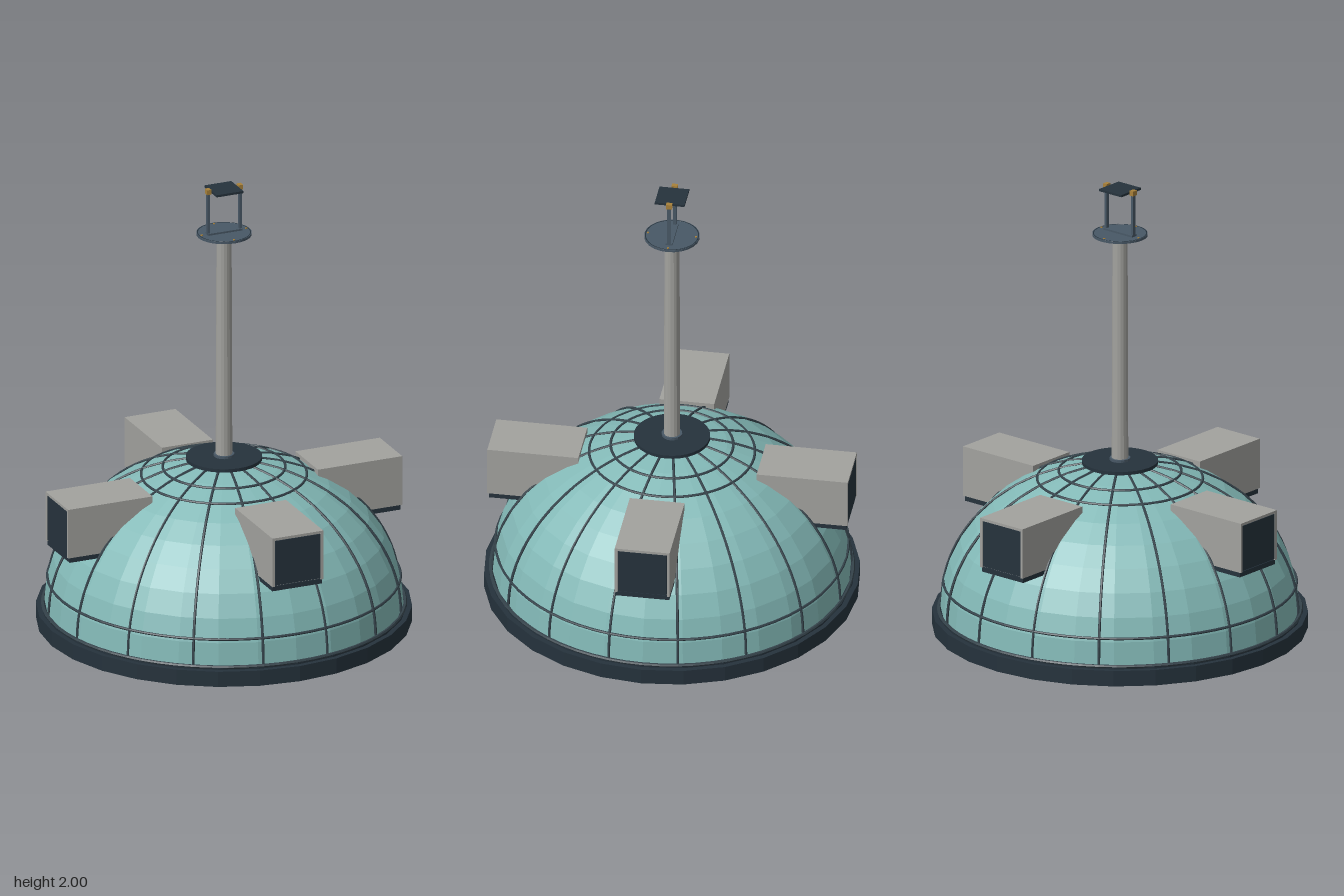
import * as THREE from 'three';

const mat = (color) => new THREE.MeshStandardMaterial({ color, flatShading: true });

export function createModel() {
  const root = new THREE.Group();
  const teal = mat(0x83b9b7), dark = mat(0x25323c), grey = mat(0xa2a29e);
  const slate = mat(0x485866), gold = mat(0xa8813a), rib = mat(0x34424a);

  const add = (name, geo, material, x = 0, y = 0, z = 0, parent = root) => {
    const m = new THREE.Mesh(geo, material);
    m.name = name;
    m.position.set(x, y, z);
    parent.add(m);
    return m;
  };
  const cyl = (name, r0, r1, y0, y1, sides, material, x = 0, z = 0) =>
    add(name, new THREE.CylinderGeometry(r1, r0, y1 - y0, sides), material, x, (y0 + y1) / 2, z);
  const ring = (name, r, tube, y, material) => {
    const m = add(name, new THREE.TorusGeometry(r, tube, 6, 64), material, 0, y, 0);
    m.rotation.x = Math.PI / 2;
  };

  // Base plinth and dome
  const R = 0.775, H = 0.665, Y0 = 0.08;
  cyl('basePlinth', 0.812, 0.812, 0, 0.07, 28, dark);
  cyl('baseStep', 0.79, 0.79, 0.07, 0.078, 28, dark);
  const domeGeo = new THREE.SphereGeometry(1, 28, 10, 0, Math.PI * 2, 0, Math.PI / 2);
  domeGeo.scale(R, H, R);
  add('dome', domeGeo, teal, 0, Y0, 0);

  // Horizontal ribs
  ring('rimRing', 0.782, 0.008, 0.08, rib);
  for (const y of [0.2, 0.67, 0.705]) {
    ring('domeRing', R * Math.sqrt(1 - ((y - Y0) / H) ** 2), 0.006, y, rib);
  }

  // Meridian ribs
  const points = [];
  for (let i = 0; i <= 12; i++) {
    const a = (i / 12) * 1.38;
    points.push(new THREE.Vector3(0, Y0 + H * Math.sin(a), R * Math.cos(a)));
  }
  const ribGeo = new THREE.TubeGeometry(new THREE.CatmullRomCurve3(points), 24, 0.006, 6);
  for (let i = 0; i < 16; i++) {
    add('domeRib', ribGeo, rib).rotation.y = ((i + 0.5) / 16) * Math.PI * 2;
  }

  // Four dormers with recessed dark windows and sills
  for (let i = 0; i < 4; i++) {
    const d = new THREE.Group();
    d.name = 'dormer';
    d.rotation.y = (i * Math.PI) / 2;
    root.add(d);
    const box = (name, w, h, l, m, y, z) => add(name, new THREE.BoxGeometry(w, h, l), m, 0, y, z, d);
    box('dormerBody', 0.24, 0.225, 0.385, grey, 0.5575, 0.5825);
    box('dormerSill', 0.235, 0.022, 0.385, dark, 0.434, 0.5875);
    box('dormerWindow', 0.212, 0.205, 0.014, dark, 0.553, 0.779);
    for (const s of [-1, 1]) {
      add('dormerJamb', new THREE.BoxGeometry(0.012, 0.225, 0.014), grey, s * 0.114, 0.5575, 0.781, d);
    }
    box('dormerLintel', 0.24, 0.012, 0.014, grey, 0.664, 0.781);
  }

  // Crown cap and mast
  cyl('crownCap', 0.165, 0.165, 0.74, 0.755, 32, dark);
  cyl('mastFoot', 0.045, 0.045, 0.755, 0.766, 16, slate);
  cyl('mast', 0.036, 0.033, 0.755, 1.775, 16, grey);
  cyl('mastCollar', 0.045, 0.045, 1.768, 1.782, 16, slate);

  // Platform with its small bolts
  cyl('platform', 0.12, 0.12, 1.78, 1.79, 24, slate);
  ring('platformRim', 0.115, 0.004, 1.787, dark);
  for (let i = 0; i < 4; i++) {
    const a = (i * Math.PI) / 2;
    cyl('platformBolt', 0.005, 0.005, 1.788, 1.793, 8, gold, 0.105 * Math.cos(a), 0.105 * Math.sin(a));
  }

  // Fork posts carrying a flat panel on gold pivots
  add('forkBase', new THREE.BoxGeometry(0.16, 0.008, 0.03), slate, 0, 1.794, 0);
  for (const s of [-1, 1]) {
    add('forkPost', new THREE.BoxGeometry(0.012, 0.19, 0.016), slate, s * 0.075, 1.885, 0);
    add('pivot', new THREE.BoxGeometry(0.02, 0.022, 0.026), gold, s * 0.075, 1.989, 0);
  }
  add('pivotAxle', new THREE.CylinderGeometry(0.004, 0.004, 0.16, 8), slate, 0, 1.988, 0).rotation.z = Math.PI / 2;
  add('panel', new THREE.BoxGeometry(0.126, 0.01, 0.13), dark, 0, 1.988, 0);

  return root;
}
